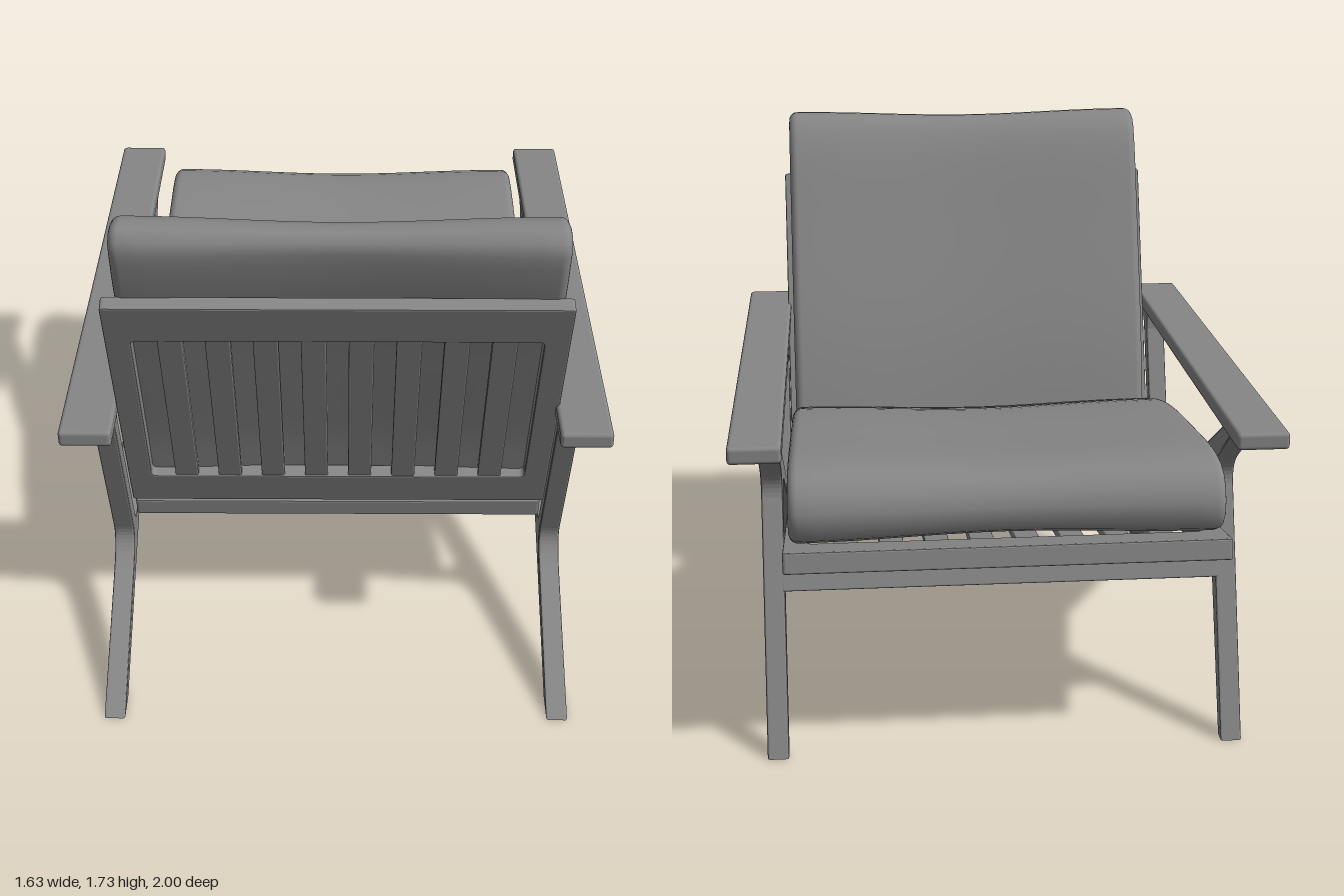
import * as THREE from 'three';
import { RoundedBoxGeometry } from 'three/addons/geometries/RoundedBoxGeometry.js';

const mat = new THREE.MeshStandardMaterial({ color: 0x868686 });

function add(parent, name, geometry, x = 0, y = 0, z = 0) {
  const mesh = new THREE.Mesh(geometry, mat);
  mesh.name = name;
  mesh.position.set(x, y, z);
  parent.add(mesh);
  return mesh;
}

// Closed 2D path with rounded corners, used for panel outlines and openings
function roundRect(path, w, h, r, cy = 0) {
  const x = w / 2, b = cy - h / 2, t = cy + h / 2;
  path.moveTo(-x + r, b);
  path.lineTo(x - r, b).quadraticCurveTo(x, b, x, b + r);
  path.lineTo(x, t - r).quadraticCurveTo(x, t, x - r, t);
  path.lineTo(-x + r, t).quadraticCurveTo(-x, t, -x, t - r);
  path.lineTo(-x, b + r).quadraticCurveTo(-x, b, -x + r, b);
  return path;
}

// Framed panel: an opening filled with eight upright slats
function slattedPanel(name, { height, thick, openHeight, openY, slatThick, slatZ }) {
  const group = new THREE.Group();
  group.name = name;
  const bevel = 0.005;
  const shape = roundRect(new THREE.Shape(), 1.328 - 2 * bevel, height - 2 * bevel, 0.006);
  shape.holes.push(roundRect(new THREE.Path(), 1.18 + 2 * bevel, openHeight + 2 * bevel, 0.025, openY));
  const frame = new THREE.ExtrudeGeometry(shape, {
    depth: thick - 2 * bevel, bevelSize: bevel, bevelThickness: bevel, bevelSegments: 2, curveSegments: 5,
  });
  frame.translate(0, 0, -thick / 2 + bevel);
  add(group, name + 'Frame', frame);
  for (let i = 0; i < 8; i++) {
    const slat = new RoundedBoxGeometry(0.073, openHeight + 0.02, slatThick, 2, 0.005);
    add(group, name + 'Slat', slat, (i - 3.5) * 0.137, openY, slatZ);
  }
  return group;
}

// Cushion: a side profile of [z, y] points swept across x, with rounded ends and a waisted middle
function cushion(profile, halfWidth, waist) {
  const N = 64, R = 0.028;
  const curve = new THREE.CatmullRomCurve3(
    profile.map(([z, y]) => new THREE.Vector3(0, y, z)), true, 'centripetal');
  const pts = curve.getSpacedPoints(N).slice(0, N);
  const inward = pts.map((p, i) => {
    const d = pts[(i + 1) % N].clone().sub(pts[(i + N - 1) % N]).normalize();
    return new THREE.Vector3(0, d.z, -d.y);
  });
  const centre = pts.reduce((s, p) => s.add(p), new THREE.Vector3()).divideScalar(N);
  if (inward[0].dot(centre.clone().sub(pts[0])) < 0) inward.forEach(v => v.negate());

  // Rings of [x, inset]: quarter-round end, waisted body, mirrored end
  const rings = [];
  for (let i = 0; i <= 6; i++) {
    const a = (i / 6) * Math.PI / 2;
    rings.push([-halfWidth + R * (1 - Math.cos(a)), R * (1 - Math.sin(a))]);
  }
  const inner = halfWidth - R;
  for (let i = 1; i < 20; i++) {
    const x = -inner + (i / 20) * 2 * inner;
    rings.push([x, waist * (0.5 + 0.5 * Math.cos(Math.PI * x / inner))]);
  }
  for (let i = 6; i >= 0; i--) rings.push([-rings[i][0], rings[i][1]]);

  const pos = [], idx = [];
  for (const [x, inset] of rings)
    pts.forEach((p, i) => pos.push(x, p.y + inward[i].y * inset, p.z + inward[i].z * inset));
  for (let r = 0; r < rings.length - 1; r++)
    for (let i = 0; i < N; i++) {
      const j = (i + 1) % N, a = r * N + i, b = r * N + j;
      idx.push(a, b, a + N, b, b + N, a + N);
    }
  // End caps
  const c0 = pos.length / 3, last = (rings.length - 1) * N;
  pos.push(-halfWidth, centre.y, centre.z, halfWidth, centre.y, centre.z);
  for (let i = 0; i < N; i++) {
    const j = (i + 1) % N;
    idx.push(c0, j, i, c0 + 1, last + i, last + j);
  }
  // Keep faces outward whichever way the profile turns
  let area = 0;
  pts.forEach((p, i) => { const q = pts[(i + 1) % N]; area += p.y * q.z - q.y * p.z; });
  if (area < 0)
    for (let k = 0; k < idx.length; k += 3) [idx[k + 1], idx[k + 2]] = [idx[k + 2], idx[k + 1]];
  const g = new THREE.BufferGeometry();
  g.setAttribute('position', new THREE.Float32BufferAttribute(pos, 3));
  g.setIndex(idx);
  g.computeVertexNormals();
  return g;
}

// Side frame in (z, y): diagonal rail, rear upright and front leg in one piece
function sideFrameGeometry() {
  const s = new THREE.Shape();
  s.moveTo(1.0, 0);
  s.lineTo(0.57, 0.255).quadraticCurveTo(0.48, 0.31, 0.506, 0.38);
  s.lineTo(0.715, 0.93).quadraticCurveTo(0.745, 0.99, 0.88, 1.005);
  s.lineTo(0.66, 1.005);
  s.lineTo(0.655, 0.93);
  s.lineTo(0.458, 0.41).quadraticCurveTo(0.44, 0.35, 0.38, 0.367);
  s.lineTo(-0.70, 1.005);
  s.lineTo(-0.80, 1.005);
  s.lineTo(-0.64, 0.885).quadraticCurveTo(-0.54, 0.82, -0.575, 0.745);
  s.lineTo(-0.83, 0);
  s.lineTo(-0.79, 0);
  s.lineTo(-0.51, 0.72).quadraticCurveTo(-0.465, 0.80, -0.35, 0.73);
  s.lineTo(0.90, 0);
  const g = new THREE.ExtrudeGeometry(s, {
    depth: 0.054, bevelSize: 0.006, bevelThickness: 0.006, bevelOffset: -0.006, bevelSegments: 2, curveSegments: 10,
  });
  g.translate(0, 0, -0.027);
  g.rotateY(-Math.PI / 2);
  return g;
}

export function createModel() {
  const chair = new THREE.Group();
  chair.name = 'loungeChair';

  // Side frames and armrests
  const side = sideFrameGeometry();
  const arm = new RoundedBoxGeometry(0.156, 0.052, 1.825, 3, 0.012);
  for (const s of [-1, 1]) {
    const name = s > 0 ? 'left' : 'right';
    add(chair, name + 'SideFrame', side, s * 0.704, 0, 0);
    add(chair, name + 'Armrest', arm, s * 0.736, 1.022, -0.02);
  }

  // Crossbar between the front legs, under the seat and raked with the legs
  const bar = add(chair, 'frontCrossbar', new RoundedBoxGeometry(1.36, 0.13, 0.042, 2, 0.005), 0, 0.54, -0.623);
  bar.rotation.x = 0.345;

  // Reclined backrest panel
  const back = slattedPanel('backrest', {
    height: 1.024, thick: 0.045, openHeight: 0.726, openY: -0.005, slatThick: 0.03, slatZ: 0.002,
  });
  back.position.set(0.005, 1.015, 0.707);
  back.rotation.x = 0.361;
  chair.add(back);

  // Seat panel, rising towards the front
  const seat = slattedPanel('seat', {
    height: 1.43, thick: 0.064, openHeight: 1.18, openY: 0, slatThick: 0.03, slatZ: 0.008,
  });
  seat.position.set(0.003, 0.564, -0.225);
  seat.rotation.x = -1.397;
  chair.add(seat);

  // Cushions
  add(chair, 'backCushion', cushion([
    [0.915, 1.70], [0.87, 1.73], [0.785, 1.715], [0.735, 1.65], [0.612, 1.35], [0.473, 0.97],
    [0.40, 0.70], [0.375, 0.58], [0.405, 0.51], [0.46, 0.49], [0.51, 0.53],
    [0.62, 0.84], [0.76, 1.21], [0.90, 1.59],
  ], 0.634, 0.016), 0.012);
  add(chair, 'seatCushion', cushion([
    [0.42, 0.62], [0.413, 0.70], [0.385, 0.74], [0.32, 0.763], [-0.07, 0.878], [-0.50, 0.94], [-0.88, 0.967],
    [-0.96, 0.935], [-0.998, 0.86], [-0.985, 0.79], [-0.92, 0.748], [-0.55, 0.675],
    [-0.18, 0.607], [0.32, 0.522], [0.405, 0.535],
  ], 0.634, 0.016), 0.012);

  return chair;
}
